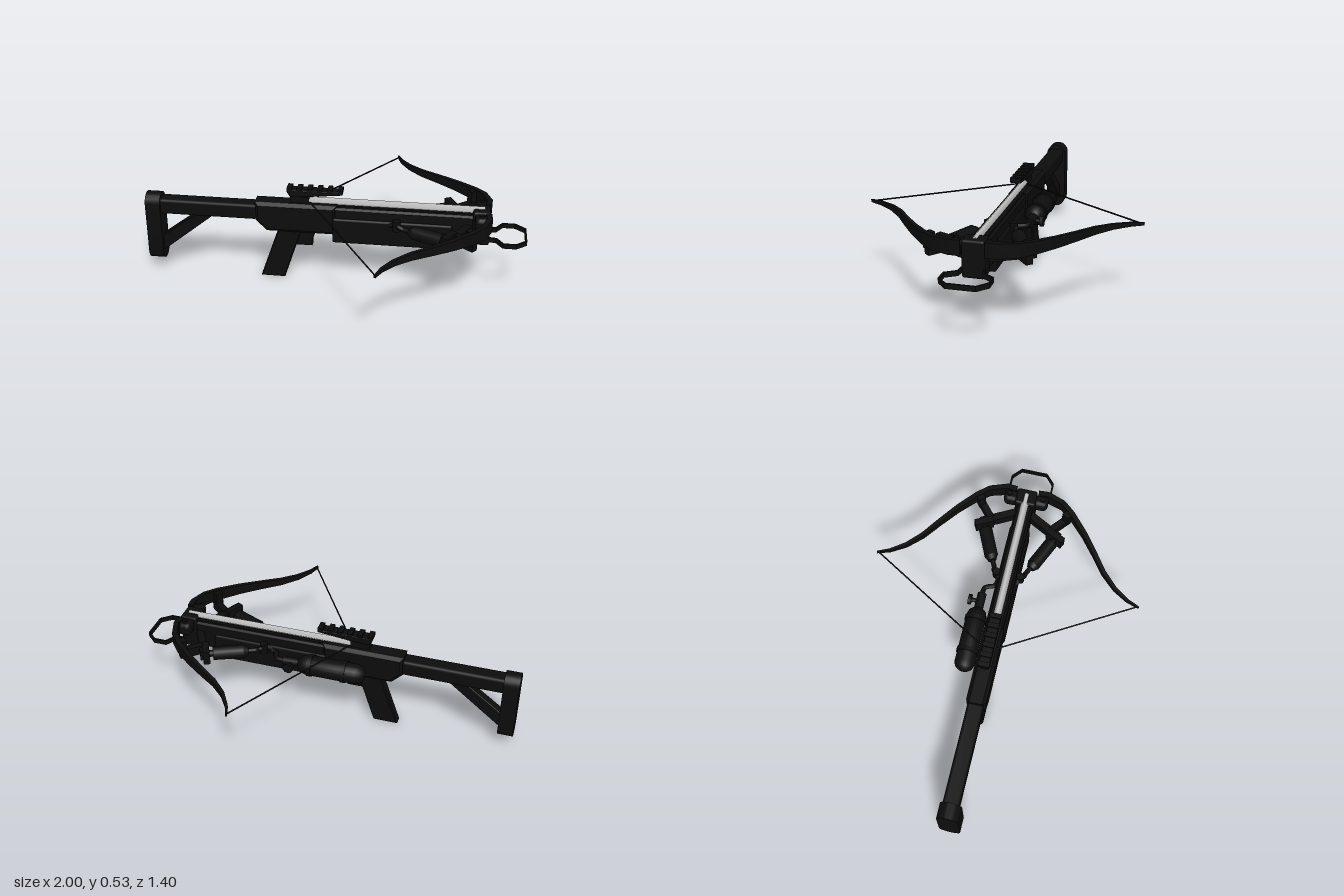
import * as THREE from 'three';
import { RoundedBoxGeometry } from 'three/addons/geometries/RoundedBoxGeometry.js';
import { toCreasedNormals } from 'three/addons/utils/BufferGeometryUtils.js';

const V = (x, y, z) => new THREE.Vector3(x, y, z);
const black = new THREE.MeshStandardMaterial({ color: 0x0d0d0d });
const grey = new THREE.MeshStandardMaterial({ color: 0xcccccc });

export function createModel() {
  const root = new THREE.Group();
  root.name = 'crossbow';

  const add = (name, geo, mat = black, parent = root) => {
    const m = new THREE.Mesh(geo, mat);
    m.name = name;
    parent.add(m);
    return m;
  };
  // box given by its minimum and maximum corners
  const box = (name, x0, x1, y0, y1, z0, z1, r = 0) => {
    const s = [x1 - x0, y1 - y0, z1 - z0];
    const g = r ? new RoundedBoxGeometry(...s, 2, r) : new THREE.BoxGeometry(...s);
    return add(name, g.translate((x0 + x1) / 2, (y0 + y1) / 2, (z0 + z1) / 2));
  };
  // side profile extruded symmetrically about z = 0, with a chamfer
  const plate = (name, pts, half, bevel = 0.008) => {
    const g = new THREE.ExtrudeGeometry(new THREE.Shape(pts.map(p => new THREE.Vector2(...p))), {
      depth: 2 * (half - bevel), bevelEnabled: bevel > 0, bevelThickness: bevel,
      bevelSize: bevel, bevelOffset: -bevel, bevelSegments: 1, curveSegments: 8
    });
    return add(name, g.translate(0, 0, -(half - bevel)));
  };
  // cylinder between two points
  const rod = (name, a, b, r0, r1 = r0, sides = 16, mat = black) => {
    const d = b.clone().sub(a);
    const m = add(name, new THREE.CylinderGeometry(r1, r0, d.length(), sides), mat);
    m.position.copy(a).addScaledVector(d, 0.5);
    m.quaternion.setFromUnitVectors(V(0, 1, 0), d.normalize());
    return m;
  };
  // rectangular bar between two points in a horizontal plane
  const bar = (name, a, b, h, w) => {
    const d = b.clone().sub(a);
    const m = add(name, new THREE.BoxGeometry(d.length(), h, w));
    m.position.copy(a).addScaledVector(d, 0.5);
    m.rotation.y = -Math.atan2(d.z, d.x);
    return m;
  };
  const tube = (name, pts, r) =>
    add(name, new THREE.TubeGeometry(new THREE.CatmullRomCurve3(pts), 24, r, 8));
  // rectangular section swept along a horizontal path; rows are [x, z, y, height, thickness]
  const strip = (name, rows) => {
    const pos = [], idx = [], n = rows.length;
    rows.forEach(([x, z, y, h, t], i) => {
      const p = rows[Math.max(i - 1, 0)], q = rows[Math.min(i + 1, n - 1)];
      const dx = q[0] - p[0], dz = q[1] - p[1], l = Math.hypot(dx, dz);
      const nx = -dz / l * t / 2, nz = dx / l * t / 2;
      for (const [s, u] of [[1, -1], [1, 1], [-1, 1], [-1, -1]])
        pos.push(x + s * nx, y + u * h / 2, z + s * nz);
      if (i) for (let k = 0; k < 4; k++) {
        const a = (i - 1) * 4 + k, b = (i - 1) * 4 + (k + 1) % 4;
        idx.push(a, a + 4, b, b, a + 4, b + 4);
      }
    });
    const e = (n - 1) * 4;
    idx.push(0, 1, 2, 0, 2, 3, e, e + 2, e + 1, e, e + 3, e + 2);
    const g = new THREE.BufferGeometry();
    g.setAttribute('position', new THREE.Float32BufferAttribute(pos, 3));
    g.setIndex(idx);
    return add(name, toCreasedNormals(g, 0.6));
  };

  // shoulder stock
  const pad = new THREE.Shape();
  pad.absarc(0, 0.395, 0.055, 0, Math.PI);
  pad.absarc(0, 0.12, 0.055, Math.PI, 2 * Math.PI);
  const padGeo = new THREE.ExtrudeGeometry(pad, { depth: 0.08, bevelEnabled: false, curveSegments: 10 });
  add('buttPad', toCreasedNormals(padGeo.rotateY(Math.PI / 2).translate(-1, 0, 0), 0.6));
  box('stockTube', -0.93, -0.4, 0.34, 0.425, -0.042, 0.042, 0.015);
  plate('stockStrut', [[-0.93, 0.11], [-0.63, 0.35], [-0.73, 0.35], [-0.93, 0.2]], 0.025, 0.005);

  // receiver and barrel
  plate('receiver', [[-0.41, 0.34], [-0.35, 0.28], [0.02, 0.28], [0.02, 0.445], [-0.41, 0.445]], 0.052, 0.018);
  plate('barrel', [[0, 0.28], [0.74, 0.28], [0.74, 0.44], [0, 0.44]], 0.045, 0.015);
  box('foreEnd', 0, 0.62, 0.24, 0.38, -0.055, 0.055, 0.012);
  for (const s of [-1, 1]) box('boltTrack', 0, 0.8, 0.43, 0.445, s * 0.025 - 0.009, s * 0.025 + 0.009);
  box('noseBlock', 0.72, 0.81, 0.28, 0.465, -0.055, 0.055, 0.012);

  // grip and trigger
  plate('grip', [[-0.39, 0], [-0.26, 0], [-0.165, 0.29], [-0.29, 0.29]], 0.028, 0.006);
  plate('triggerGuard', [[-0.2, 0.29], [-0.2, 0.197], [-0.11, 0.197], [-0.108, 0.235], [-0.088, 0.29]], 0.02, 0.004);

  // sight rail
  box('railMount', -0.225, -0.125, 0.43, 0.51, -0.02, 0.02);
  plate('railBase', [[-0.225, 0.48], [-0.12, 0.485], [0.05, 0.503], [0.05, 0.518], [-0.24, 0.518], [-0.24, 0.505]], 0.03, 0.004);
  for (let i = 0; i < 6; i++) {
    const x = -0.24 + i * 0.053;
    box('railTooth', x, x + 0.025, 0.51, 0.53, -0.03, 0.03);
  }

  // square bolt lying on the track
  rod('bolt', V(-0.125, 0.455, 0), V(0.78, 0.455, 0), 0.021, 0.021, 4, grey);

  // front foot loop
  const loop = [[0.8, 0.055], [0.845, 0.06], [0.88, 0.115], [0.945, 0.115], [0.996, 0.07]];
  strip('footLoop', [...loop, ...loop.map(([x, z]) => [x, -z]).reverse()]
    .map(([x, z]) => [x, z, 0.318, 0.026, 0.009]));

  // bow, string and side pistons, mirrored
  const limb = [[0.80, 0.06, 0.075, 0.03], [0.805, 0.11, 0.075, 0.028], [0.775, 0.2, 0.07, 0.026],
    [0.725, 0.26, 0.064, 0.025], [0.63, 0.345, 0.054, 0.023], [0.53, 0.42, 0.045, 0.021],
    [0.435, 0.487, 0.037, 0.02], [0.36, 0.56, 0.028, 0.018], [0.31, 0.635, 0.021, 0.014], [0.285, 0.7, 0.015, 0.008]];
  for (const s of [-1, 1]) {
    const rows = limb.map(([x, z, h, t]) => [x, s * z, 0.427, h, t]);
    strip('bowLimb', rows);
    rod('bowString', V(0.287, 0.427, s * 0.69), V(-0.13, 0.45, 0), 0.004, 0.004, 6);

    // limb clamp at the nose
    box('limbClamp', 0.73, 0.8, 0.385, 0.46, Math.min(s * 0.04, s * 0.12), Math.max(s * 0.04, s * 0.12), 0.025);
    rod('clampBolt', V(0.765, 0.38, s * 0.09), V(0.765, 0.47, s * 0.09), 0.014, 0.014, 6);

    // piston, bracket and braces
    const P = (x, y, z) => V(x, y, s * z);
    rod('piston', P(0.43, 0.36, 0.115), P(0.575, 0.36, 0.18), 0.036);
    rod('pistonCap', P(0.405, 0.36, 0.104), P(0.435, 0.36, 0.117), 0.022, 0.036);
    rod('pistonRod', P(0.57, 0.36, 0.178), P(0.63, 0.36, 0.205), 0.018);
    bar('bracketPlate', P(0.585, 0.365, 0.24), P(0.63, 0.365, 0.15), 0.075, 0.035);
    bar('innerBrace', P(0.61, 0.36, 0.215), P(0.71, 0.36, 0.03), 0.055, 0.04);
    bar('limbBrace', P(0.64, 0.37, 0.165), P(0.735, 0.37, 0.245), 0.05, 0.035);
    bar('limbSaddle', P(0.70, 0.415, 0.225), P(0.735, 0.415, 0.25), 0.08, 0.04);

    // air line from the barrel to the piston
    tube('airLine', [P(0.41, 0.36, 0.105), P(0.37, 0.36, 0.085), P(0.345, 0.37, 0.08),
      P(0.33, 0.37, 0.06), P(0.29, 0.36, 0.045)], 0.013);
    rod('lineFitting', P(0.335, 0.34, 0.065), P(0.335, 0.395, 0.065), 0.021, 0.021, 8);
  }

  // air tank on the right side
  const tank = [[0, -0.232], [0.025, -0.226], [0.045, -0.21], [0.053, -0.185], [0.053, 0.08],
    [0.046, 0.105], [0.03, 0.12], [0.024, 0.125], [0.024, 0.21], [0, 0.21]];
  const tankGeo = new THREE.LatheGeometry(tank.map(p => new THREE.Vector2(...p)), 24);
  add('airTank', toCreasedNormals(tankGeo.rotateZ(-Math.PI / 2).translate(0, 0.35, -0.113), 0.7));
  for (const x of [-0.12, 0.06]) {
    rod('tankBand', V(x - 0.012, 0.35, -0.113), V(x + 0.012, 0.35, -0.113), 0.058, 0.058, 24);
    box('tankHolder', x - 0.012, x + 0.012, 0.325, 0.375, -0.085, -0.035);
  }
  rod('valveStem', V(0.165, 0.35, -0.12), V(0.165, 0.35, -0.165), 0.011, 0.011, 10);
  rod('valveKnob', V(0.165, 0.35, -0.16), V(0.165, 0.35, -0.177), 0.028, 0.028, 10);
  tube('tankHose', [V(0.2, 0.35, -0.113), V(0.245, 0.35, -0.108), V(0.262, 0.35, -0.08),
    V(0.27, 0.35, -0.06), V(0.31, 0.36, -0.045)], 0.013);

  return root;
}
